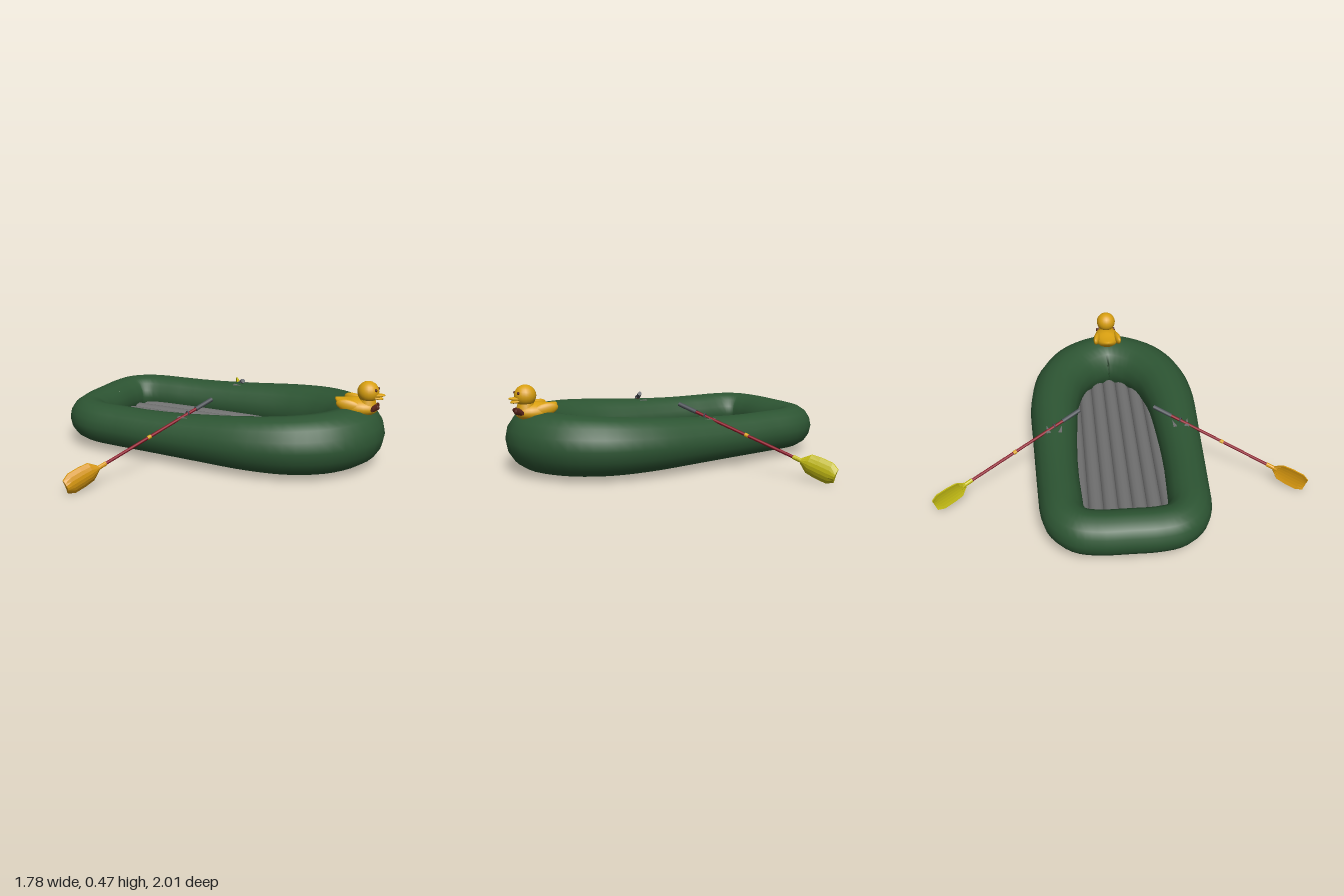
import * as THREE from 'three';
import { ParametricGeometry } from 'three/addons/geometries/ParametricGeometry.js';

const paint = (color, flatShading = false) => new THREE.MeshStandardMaterial({ color, flatShading });
const green = paint(0x2d5533), grey = paint(0x707070), red = paint(0x8b0f22);
const darkGrey = paint(0x4a4f55), yellow = paint(0xd9a010), brown = paint(0x552218);
const MID = 0.005; // z of the boat's long axis

function add(parent, name, geometry, material, x = 0, y = 0, z = 0) {
  const mesh = new THREE.Mesh(geometry, material);
  mesh.name = name;
  mesh.position.set(x, y, z);
  parent.add(mesh);
  return mesh;
}

// Apply a rule to every vertex
function reshape(geometry, rule) {
  const p = geometry.attributes.position, v = new THREE.Vector3();
  for (let i = 0; i < p.count; i++) {
    rule(v.fromBufferAttribute(p, i));
    p.setXYZ(i, v.x, v.y, v.z);
  }
  geometry.computeVertexNormals();
  return geometry;
}

// Inflated ring: a tube that grows fatter and higher towards the bow
function hullGeometry() {
  const side = [[-0.775, 0.15], [-0.75, 0.245], [-0.67, 0.31], [-0.45, 0.335], [0, 0.345],
    [0.3, 0.335], [0.5, 0.285], [0.65, 0.175]];
  const half = side.map(([x, z]) => new THREE.Vector3(x, 0, z));
  const other = side.map(([x, z]) => new THREE.Vector3(x, 0, -z)).reverse();
  const path = new THREE.CatmullRomCurve3([new THREE.Vector3(-0.778, 0, 0), ...half,
    new THREE.Vector3(0.727, 0, 0), ...other], true);
  const up = new THREE.Vector3(0, 1, 0);
  return new ParametricGeometry((u, v, target) => {
    const c = path.getPoint(u);
    const out = path.getTangent(u).cross(up).normalize();
    const swell = THREE.MathUtils.smoothstep(c.x, -0.4, 0.8);
    const r = 0.112 + 0.046 * swell, a = v * Math.PI * 2;
    target.copy(c).addScaledVector(out, r * Math.cos(a));
    target.y = 0.139 + 0.027 * swell + r * Math.sin(a);
    target.z += MID;
  }, 72, 16);
}

// Floor of parallel inflated tubes whose ends tuck into the ring
function createFloor() {
  const floor = new THREE.Group();
  floor.name = 'floor';
  const ends = [0.64, 0.63, 0.61, 0.54];
  for (let i = -3; i <= 3; i++) {
    const front = ends[Math.abs(i)], back = Math.abs(i) === 3 ? -0.7 : -0.73;
    const tube = add(floor, 'floorTube', new THREE.CapsuleGeometry(0.04, front - back - 0.08, 4, 12), grey,
      (front + back) / 2, 0.082, MID + i * 0.075);
    tube.rotation.z = Math.PI / 2;
    tube.scale.x = 0.85;
  }
  return floor;
}

// Oar built along local +y, from the grip to the blade tip
function createOar(s, bladeColor) {
  const oar = new THREE.Group();
  oar.name = s > 0 ? 'frontOar' : 'backOar';
  const d = new THREE.Vector3(-0.31, -0.22, 0.62 * s).normalize();
  const w = new THREE.Vector3(0, 1, 0).addScaledVector(d, -d.y).normalize();
  oar.quaternion.setFromRotationMatrix(new THREE.Matrix4().makeBasis(w, d, w.clone().cross(d)));
  oar.position.set(0, 0.318, MID + 0.205 * s);

  const rod = (name, r, from, to, material) =>
    add(oar, name, new THREE.CylinderGeometry(r, r, to - from, 10), material, 0, (from + to) / 2, 0);
  const bladePaint = paint(bladeColor, true);
  rod('shaft', 0.008, 0.04, 0.74, red);
  rod('grip', 0.0115, 0, 0.11, darkGrey);
  rod('joint', 0.0105, 0.41, 0.43, yellow);
  rod('bladeSocket', 0.011, 0.69, 0.75, bladePaint);

  // Blade: a box widened to a paddle outline, domed and cupped
  const outline = [0.014, 0.05, 0.056, 0.056, 0.036];
  const along = [0, 0.04, 0.09, 0.155, 0.19];
  const blade = reshape(new THREE.BoxGeometry(2, 4, 2, 6, 4, 1), v => {
    const i = Math.round(v.y + 2), face = Math.sign(v.z);
    const q = v.x * v.x;
    v.z = face * (0.004 + 0.007 * (1 - q)) + s * 0.014 * (0.5 - q) * (i > 0 ? 1 : 0.2);
    v.x *= outline[i];
    v.y = along[i];
  });
  add(oar, 'blade', blade, bladePaint, 0, 0.735, 0);
  return oar;
}

// Patch, post and ring that hold an oar
function createOarlock(s) {
  const lock = new THREE.Group();
  lock.name = s > 0 ? 'frontOarlock' : 'backOarlock';
  lock.position.set(-0.07, 0.25, MID + 0.347 * s);
  add(lock, 'patch', new THREE.BoxGeometry(0.08, 0.016, 0.085), grey);
  add(lock, 'post', new THREE.CylinderGeometry(0.008, 0.012, 0.016, 10), darkGrey, 0, 0.01, 0);
  const ring = add(lock, 'ring', new THREE.TorusGeometry(0.012, 0.004, 6, 14), darkGrey, 0, 0.02, 0);
  ring.rotation.y = s * -0.46;
  return lock;
}

function createDuck() {
  const duck = new THREE.Group();
  duck.name = 'toyDuck';
  duck.position.set(0.735, 0.32, MID);

  // Body pinched and lifted into a tail at the back
  const body = reshape(new THREE.SphereGeometry(1, 24, 16), v => {
    const t = Math.max(0, -v.x - 0.15);
    v.set(v.x * 0.115, v.y * 0.05 * (1 - 0.5 * t) + 0.045 * t * t, v.z * 0.075 * (1 - 0.4 * t));
  });
  add(duck, 'body', body, yellow);
  add(duck, 'neck', new THREE.CylinderGeometry(0.035, 0.05, 0.06, 18), yellow, 0.058, 0.042, 0);
  add(duck, 'head', new THREE.SphereGeometry(0.056, 20, 14), yellow, 0.06, 0.085, 0);

  // Wings, eyes and scarf ends come in pairs
  for (const s of [1, -1]) {
    const wing = add(duck, 'wing', new THREE.SphereGeometry(1, 16, 10), yellow, -0.02, 0.015, 0.06 * s);
    wing.scale.set(0.07, 0.033, 0.02);
    wing.rotation.set(0, s * 0.2, -0.2);
    add(duck, 'eye', new THREE.SphereGeometry(0.008, 8, 6), brown, 0.106, 0.102, 0.024 * s);
    const loop = add(duck, 'bowLoop', new THREE.CylinderGeometry(0.01, 0.022, 0.052, 10), brown, 0.1, 0.006, 0.032 * s);
    loop.rotation.set(s * Math.PI / 2, 0, 0);
    loop.scale.x = 0.75;
  }
  add(duck, 'bowKnot', new THREE.SphereGeometry(0.015, 10, 8), brown, 0.108, 0.006, 0);

  // Beak with an upper and a lower half
  for (const [name, y, len, tilt] of [['upperBeak', 0.072, 0.046, 0.08], ['lowerBeak', 0.06, 0.036, -0.15]]) {
    const beak = add(duck, name, new THREE.SphereGeometry(1, 14, 10), yellow, 0.105, y, 0);
    beak.scale.set(len, 0.009, 0.026);
    beak.rotation.z = tilt;
  }
  return duck;
}

export function createModel() {
  const boat = new THREE.Group();
  boat.name = 'inflatableBoat';
  add(boat, 'hullRing', hullGeometry(), green);
  boat.add(createFloor(), createDuck());
  for (const s of [1, -1]) boat.add(createOarlock(s), createOar(s, s > 0 ? 0xd8980f : 0xc4bc14));
  return boat;
}
